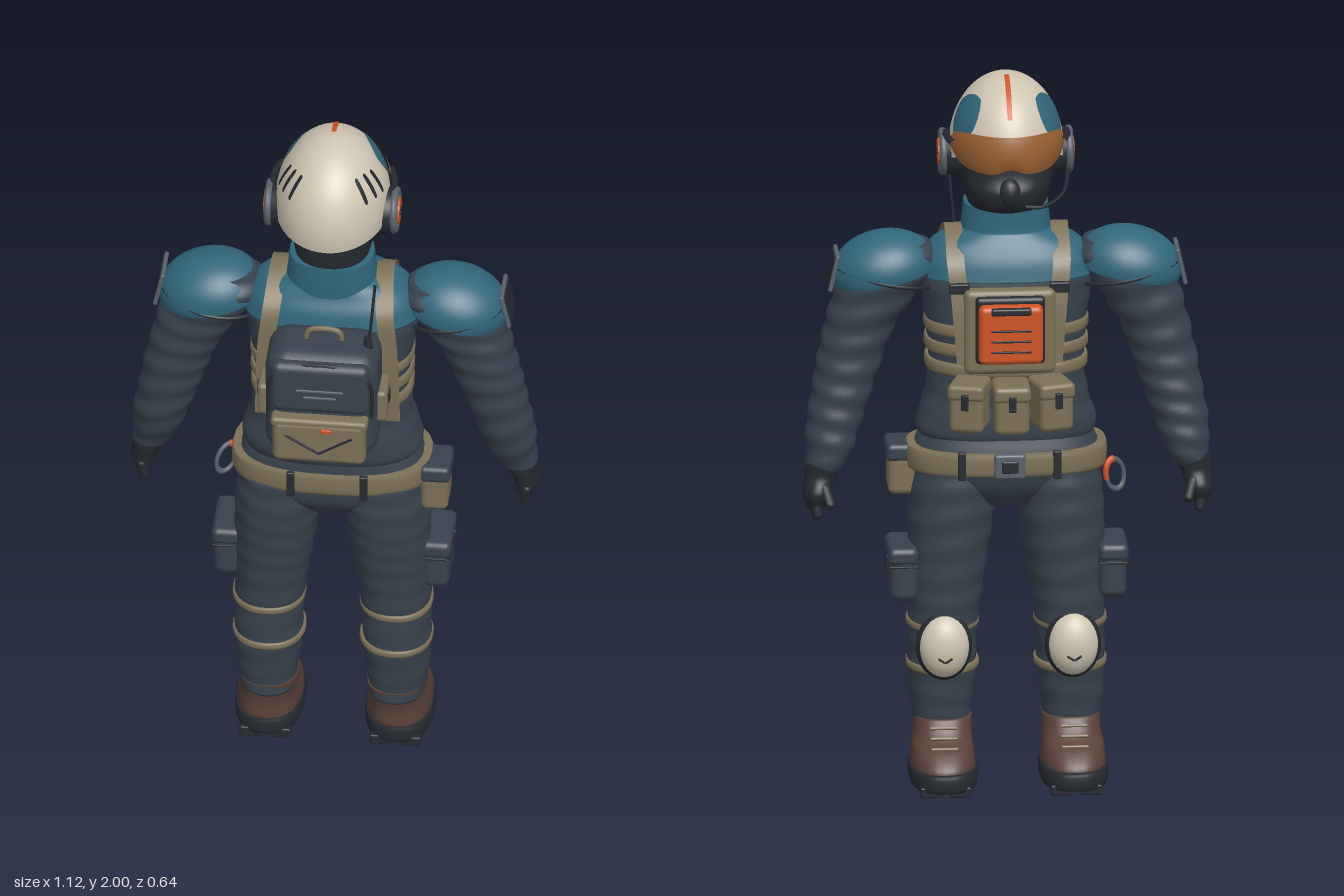
import * as THREE from 'three';
import { mergeVertices } from 'three/addons/utils/BufferGeometryUtils.js';
import { RoundedBoxGeometry } from 'three/addons/geometries/RoundedBoxGeometry.js';

const mat = (name, color, side = THREE.FrontSide) => {
  const m = new THREE.MeshStandardMaterial({ color, side });
  m.name = name;
  return m;
};
const V = (x, y, z) => new THREE.Vector3(x, y, z);

export function createModel() {
  const model = new THREE.Group();
  model.name = 'expeditionFigure';
  const suit = mat('slate suit', 0x38424d), teal = mat('teal', 0x30667a), bone = mat('off white shell', 0xcfc5b2, THREE.DoubleSide);
  const tan = mat('tan webbing', 0x7c7056, THREE.DoubleSide), orange = mat('orange', 0xcf5424), brown = mat('brown leather', 0x594139);
  const black = mat('near black', 0x262a30), amber = mat('amber visor', 0x9c6234, THREE.DoubleSide), steel = mat('steel grey', 0x59616a);

  const add = (name, geo, m, x = 0, y = 0, z = 0, rx = 0, ry = 0, rz = 0) => {
    const mesh = new THREE.Mesh(geo, m);
    mesh.name = name;
    mesh.position.set(x, y, z);
    mesh.rotation.set(rx, ry, rz);
    model.add(mesh);
    return mesh;
  };
  const box = (name, m, w, h, d, r, ...place) => add(name, new RoundedBoxGeometry(w, h, d, 3, r), m, ...place);
  const tube = (name, m, pts, r, closed = false) =>
    add(name, new THREE.TubeGeometry(new THREE.CatmullRomCurve3(pts.map(p => V(...p)), closed), 24, r, 6, closed), m);

  // Smooth surface from a rule f(u, v)
  const sheet = (name, m, f, nu, nv) => {
    const g = new THREE.PlaneGeometry(1, 1, nu, nv), p = g.attributes.position;
    for (let i = 0; i < p.count; i++) {
      const q = f(p.getX(i) + 0.5, p.getY(i) + 0.5);
      p.setXYZ(i, q.x, q.y, q.z);
    }
    g.deleteAttribute('uv');
    g.deleteAttribute('normal');
    const w = mergeVertices(g, 1e-5);
    w.computeVertexNormals();
    return add(name, w, m);
  };

  // Closed body from rounded sections [x, y, z, rx, rz], listed upwards
  const loft = (name, m, rows, { n = 2.2, wrinkle = 0, nv = 40, s = 1 } = {}) => {
    const mid = new THREE.CatmullRomCurve3(rows.map(r => V(r[0] * s, r[1], r[2])), false, 'catmullrom', 0.5);
    const rad = new THREE.CatmullRomCurve3(rows.map(r => V(r[3], r[4], 0)), false, 'catmullrom', 0.5);
    const pw = c => Math.sign(c) * Math.abs(c) ** (2 / n);
    return sheet(name, m, (u, v) => {
      const t = Math.min(1, Math.max(0, (v * nv - 1) / (nv - 2)));
      const c = mid.getPoint(t), r = rad.getPoint(t), a = (u > 0.999 ? 0 : u) * Math.PI * 2;
      const k = v < 1e-6 || v > 1 - 1e-6 ? 0 : 1 + wrinkle * Math.sin(c.y * 85 + 1.6 * Math.sin(a + c.y * 9));
      return V(c.x + r.x * k * pw(Math.sin(a)), c.y, c.z + r.y * k * pw(Math.cos(a)));
    }, 36, nv);
  };
  const band = (name, m, x, y, z, rx, rz, h, n = 2.2) => loft(name, m,
    [[x, y - h / 2, z, rx - 0.004, rz - 0.004], [x, y - h / 4, z, rx, rz], [x, y + h / 4, z, rx, rz], [x, y + h / 2, z, rx - 0.004, rz - 0.004]], { n, nv: 8 });

  // Torso, hips, yoke and collar
  loft('jacket', suit, [[0, 0.97, -0.04, 0.225, 0.125], [0, 1.01, -0.04, 0.247, 0.142], [0, 1.1, -0.04, 0.222, 0.138], [0, 1.2, -0.04, 0.212, 0.14],
    [0, 1.35, -0.04, 0.225, 0.145], [0, 1.45, -0.04, 0.238, 0.135], [0, 1.52, -0.04, 0.2, 0.112], [0, 1.56, -0.04, 0.12, 0.09]], { n: 2.5, wrinkle: 0.008 });
  loft('hips', suit, [[0, 0.79, -0.04, 0.1, 0.09], [0, 0.85, -0.04, 0.225, 0.13], [0, 0.93, -0.045, 0.255, 0.145], [0, 1.0, -0.04, 0.23, 0.135]], { n: 2.5 });
  loft('yoke', teal, [[0, 1.44, -0.04, 0.243, 0.142], [0, 1.49, -0.04, 0.23, 0.131], [0, 1.53, -0.04, 0.195, 0.112], [0, 1.565, -0.035, 0.12, 0.095]], { n: 2.5 });
  loft('collar', teal, [[0, 1.51, -0.03, 0.13, 0.1], [0, 1.57, -0.025, 0.122, 0.098], [0, 1.635, -0.025, 0.115, 0.098]], { n: 2.4 });
  band('hemBand', black, 0, 0.985, -0.04, 0.236, 0.136, 0.02, 2.5);
  for (let i = 0; i < 3; i++) band('ribStrap', tan, 0, 1.19 + i * 0.055, -0.04, 0.223 + i * 0.001, 0.15, 0.034, 2.5);

  // Head and helmet
  loft('balaclava', black, [[0, 1.55, -0.02, 0.09, 0.085], [0, 1.62, -0.025, 0.098, 0.095], [0, 1.65, -0.06, 0.108, 0.135], [0, 1.7, -0.07, 0.12, 0.148],
    [0, 1.75, -0.055, 0.128, 0.145], [0, 1.86, -0.05, 0.13, 0.14], [0, 1.92, -0.05, 0.08, 0.09]]);
  const nose = add('nose', new THREE.SphereGeometry(0.035, 16, 12), black, 0, 1.705, -0.2);
  nose.scale.set(0.9, 1.2, 0.9);
  const C = V(0, 1.79, -0.045), R = V(0.157, 0.21, 0.197);
  sheet('helmetShell', bone, (u, v) => {
    const a = (u > 0.999 ? 0 : u) * Math.PI * 2, c = Math.cos(a);
    const rim = c > 0 ? 1.77 - 0.025 * c : 1.77 + 0.1 * c * c;
    const th = (1 - v) * Math.acos((rim - C.y) / R.y);
    return V(R.x * Math.sin(th) * Math.sin(a), C.y + R.y * Math.cos(th), C.z + R.z * Math.sin(th) * c);
  }, 48, 24);
  // Painted patch on the helmet, centred on point (x, y, z); round 1 gives an oval
  const patch = (name, m, x, y, z, w, h, roll, round = 0, lift = 1.012) => {
    const d = V(x, y, z).sub(C).divide(R).normalize();
    const t1 = V(0, 1, 0).cross(d).normalize().applyAxisAngle(d, roll), t2 = d.clone().cross(t1);
    sheet(name, m, (u, v) => {
      const a = u * 2 - 1, b = v * 2 - 1;
      const p = a * Math.sqrt(1 - round * b * b / 2) * w / 2, q = b * Math.sqrt(1 - round * a * a / 2) * h / 2;
      return d.clone().addScaledVector(t1, p).addScaledVector(t2, q).normalize().multiply(R).multiplyScalar(lift).add(C);
    }, 12, 12);
  };
  patch('crestStripe', orange, 0, 1.975, -0.145, 0.09, 0.9, 0);
  for (const s of [1, -1]) {
    patch('helmetTealPanel', teal, s * 0.12, 1.91, -0.12, 0.68, 0.64, s * 0.25, 0.75);
    for (let i = 0; i < 3; i++) patch('helmetVent', black, s * (0.138 - i * 0.022), 1.91, 0.015 + i * 0.031, 0.07, 0.42, s * 0.22, 0.5);
    // Ear cups
    add('earPad', new THREE.CylinderGeometry(0.058, 0.07, 0.05, 28), black, s * 0.15, 1.775, -0.03, 0, 0, -s * Math.PI / 2);
    add('earRing', new THREE.TorusGeometry(0.055, 0.011, 10, 28), steel, s * 0.172, 1.775, -0.03, 0, Math.PI / 2);
    add('earDisc', new THREE.CylinderGeometry(0.036, 0.045, 0.03, 28), orange, s * 0.171, 1.775, -0.03, 0, 0, -s * Math.PI / 2);
    box('earBar', black, 0.008, 0.01, 0.035, 0.003, s * 0.186, 1.775, -0.03);
    tube('headsetArm', black, [[s * 0.166, 1.83, -0.03], [s * 0.163, 1.835, -0.09], [s * 0.15, 1.83, -0.14]], 0.01);
  }
  // Wraparound goggles
  const wrap = (name, m, spread, low, high, grow) => sheet(name, m, (u, v) => {
    const b = u * 2 - 1, a = Math.PI - b * spread, taper = 1 - 0.5 * Math.abs(b) ** 4;
    const y = 1.825 + (v < 0.5 ? -low : high) * Math.abs(v * 2 - 1) * taper * (v < 0.5 ? 1 - 0.3 * Math.exp(-b * b * 40) : 1);
    const k = grow * (1 - 0.05 * (v * 2 - 1) ** 2);
    return V(0.158 * k * Math.sin(a), y, -0.045 - 0.212 * k * -Math.cos(a));
  }, 40, 10);
  wrap('goggleFrame', black, 1.4, 0.066, 0.062, 1.0).material = black;
  wrap('visor', amber, 1.3, 0.056, 0.053, 1.025);
  tube('microphoneBoom', black, [[-0.17, 1.74, -0.05], [-0.15, 1.69, -0.15], [-0.09, 1.67, -0.22], [-0.04, 1.675, -0.235]], 0.005);

  for (const s of [1, -1]) {
    // Arms and gloves
    loft('sleeve', suit, [[0.505, 0.9, -0.105, 0.048, 0.056], [0.488, 0.95, -0.1, 0.062, 0.07], [0.475, 1.02, -0.085, 0.074, 0.08], [0.455, 1.1, -0.075, 0.08, 0.083],
      [0.43, 1.2, -0.065, 0.088, 0.086], [0.4, 1.3, -0.06, 0.096, 0.092], [0.355, 1.4, -0.06, 0.115, 0.1], [0.31, 1.48, -0.055, 0.125, 0.1], [0.28, 1.53, -0.05, 0.07, 0.07]],
    { wrinkle: 0.035, nv: 72, s });
    loft('glove', black, [[0.525, 0.8, -0.12, 0.025, 0.045], [0.522, 0.84, -0.12, 0.036, 0.058], [0.51, 0.89, -0.11, 0.044, 0.055], [0.498, 0.935, -0.105, 0.052, 0.06]], { s, wrinkle: 0.03 });
    for (let i = 0; i < 4; i++)
      add('finger', new THREE.CapsuleGeometry(0.014, 0.04, 4, 8), black, s * 0.524, 0.805 - (i % 3 ? 0.008 : 0), -0.075 - i * 0.027, 0.12, 0, -s * 0.15);
    add('thumb', new THREE.CapsuleGeometry(0.015, 0.045, 4, 8), black, s * 0.495, 0.84, -0.17, 0.35, 0, -s * 0.3);
    const pad = add('shoulderPad', new THREE.SphereGeometry(1, 32, 20, 0, Math.PI * 2, 0, Math.PI * 0.56), teal, s * 0.335, 1.455, -0.058, 0, 0, -s * 0.2);
    pad.scale.set(0.145, 0.105, 0.122);
    const edge = add('shoulderPadEdge', new THREE.TorusGeometry(1, 0.045, 8, 32), black, s * 0.332, 1.44, -0.058, Math.PI / 2, s * 0.2, 0);
    edge.scale.set(0.14, 0.118, 0.12);
    box('armPatchBorder', steel, 0.012, 0.105, 0.115, 0.005, s * 0.474, 1.46, -0.07, 0, 0, s * 0.22);
    box('armPatch', black, 0.012, 0.092, 0.102, 0.005, s * 0.477, 1.46, -0.07, 0, 0, s * 0.22);

    // Legs
    loft('trouserLeg', suit, [[0.175, 0.15, -0.04, 0.074, 0.085], [0.178, 0.21, -0.045, 0.084, 0.092], [0.176, 0.32, -0.045, 0.093, 0.105], [0.174, 0.42, -0.05, 0.094, 0.108],
      [0.168, 0.52, -0.05, 0.1, 0.115], [0.158, 0.66, -0.045, 0.11, 0.128], [0.147, 0.8, -0.04, 0.118, 0.138], [0.14, 0.9, -0.04, 0.11, 0.135]], { wrinkle: 0.014, nv: 64, s });
    for (const y of [0.33, 0.45]) band('kneeStrap', tan, s * 0.174, y, -0.048, 0.1, 0.113, 0.022);
    add('kneePadRim', new THREE.SphereGeometry(1, 24, 16), black, s * 0.176, 0.4, -0.145).scale.set(0.077, 0.097, 0.045);
    add('kneePad', new THREE.SphereGeometry(1, 24, 16), bone, s * 0.176, 0.402, -0.155).scale.set(0.069, 0.088, 0.055);
    for (const i of [-1, 1]) box('kneeMark', black, 0.022, 0.006, 0.008, 0.002, s * 0.176 + i * 0.01, 0.375, -0.206, 0, 0, i * 0.6);
    // Cargo pockets
    box('cargoPocket', suit, 0.075, 0.15, 0.165, 0.025, s * 0.285, 0.6, -0.07);
    box('cargoFlap', suit, 0.082, 0.05, 0.175, 0.018, s * 0.287, 0.655, -0.07);
    box('cargoSeam', black, 0.08, 0.006, 0.17, 0.002, s * 0.286, 0.627, -0.07);
    box('cargoTab', black, 0.01, 0.05, 0.018, 0.004, s * 0.328, 0.625, -0.1);

    // Boots
    loft('bootUpper', brown, [[0.178, 0.04, -0.118, 0.088, 0.15], [0.178, 0.075, -0.115, 0.088, 0.15], [0.178, 0.11, -0.098, 0.084, 0.13],
      [0.176, 0.14, -0.068, 0.08, 0.104], [0.175, 0.185, -0.045, 0.08, 0.09]], { n: 2.4, s });
    band('bootSole', black, s * 0.178, 0.042, -0.12, 0.094, 0.161, 0.05, 2.6);
    for (let i = 0; i < 6; i++) for (const e of [-1, 1])
      box('soleCleat', black, 0.06, 0.03, 0.032, 0.005, s * 0.178 + e * 0.04, 0.015, 0.015 - i * 0.052);
    for (let i = 0; i < 3; i++) box('bootLace', tan, 0.075, 0.008, 0.01, 0.003, s * 0.178, 0.165 - i * 0.022, -0.15 - i * 0.026, 0.6, 0, 0);

    // Harness straps over the shoulder
    const path = new THREE.CatmullRomCurve3([[0.175, 1.15, 0.095], [0.168, 1.38, 0.1], [0.155, 1.5, 0.08], [0.145, 1.572, -0.04],
      [0.145, 1.5, -0.16], [0.135, 1.4, -0.188], [0.12, 1.22, -0.2]].map(p => V(p[0] * s, p[1], p[2])));
    sheet('harnessStrap', tan, (u, v) => path.getPoint(v).add(V((u - 0.5) * 0.048, 0, 0)), 1, 48);
    box('strapBuckle', black, 0.056, 0.03, 0.016, 0.005, s * 0.137, 1.43, -0.186);

    // Outer chest pouches and pack sides
    box('sidePackPocket', tan, 0.04, 0.1, 0.1, 0.014, s * 0.158, 1.3, 0.19);
    box('sidePocketClip', black, 0.01, 0.035, 0.025, 0.003, s * 0.177, 1.31, 0.19);
    box('beltLoop', black, 0.022, 0.08, 0.014, 0.004, s * 0.1, 0.925, 0.109);
    box('frontBeltLoop', black, 0.022, 0.08, 0.014, 0.004, s * 0.13, 0.925, -0.193);
  }

  // Chest plate, orange kit and pouches
  box('chestPlate', tan, 0.25, 0.24, 0.05, 0.018, 0, 1.31, -0.19);
  box('chestKitBase', black, 0.19, 0.19, 0.03, 0.012, 0, 1.32, -0.218);
  box('chestKit', orange, 0.175, 0.165, 0.05, 0.016, 0, 1.315, -0.24);
  box('chestKitHandle', black, 0.11, 0.02, 0.022, 0.006, 0, 1.385, -0.262);
  for (let i = 0; i < 3; i++) box('chestKitGroove', black, 0.11, 0.006, 0.006, 0.002, 0, 1.27 + i * 0.03, -0.265);
  for (const i of [-1, 0, 1]) {
    const z = -0.25 + Math.abs(i) * 0.025, x = i * 0.112, r = -i * 0.28;
    box('chestPouch', tan, 0.095, 0.125, 0.11, 0.018, x, 1.105, z, 0, r);
    box('pouchFlap', tan, 0.102, 0.045, 0.12, 0.014, x, 1.158, z, 0, r);
    box('pouchClip', black, 0.02, 0.045, 0.01, 0.003, x + i * 0.0165, 1.135, z - 0.06, 0, r);
  }

  // Belt with buckle, pouch and carabiner
  band('belt', tan, 0, 0.925, -0.045, 0.275, 0.155, 0.065, 2.6);
  box('beltBuckle', steel, 0.085, 0.07, 0.025, 0.008, 0, 0.925, -0.2);
  box('buckleCentre', black, 0.045, 0.035, 0.02, 0.005, 0, 0.925, -0.206);
  box('beltPouch', tan, 0.075, 0.14, 0.115, 0.018, 0.285, 0.88, -0.02);
  box('beltPouchFlap', suit, 0.085, 0.05, 0.125, 0.015, 0.286, 0.93, -0.02);
  const clip = add('carabiner', new THREE.TorusGeometry(0.03, 0.006, 8, 24), steel, -0.295, 0.86, -0.08, 0, 0.6, -0.3);
  clip.scale.y = 1.5;
  const gate = add('carabinerGate', new THREE.TorusGeometry(0.03, 0.0075, 8, 12, 1.8), orange, -0.295, 0.86, -0.08, 0, 0.6, -0.3);
  gate.scale.y = 1.5;

  // Backpack
  box('backpack', suit, 0.31, 0.34, 0.2, 0.06, 0, 1.31, 0.185);
  box('packLid', suit, 0.27, 0.16, 0.05, 0.024, 0, 1.385, 0.272);
  box('packPocket', tan, 0.255, 0.135, 0.055, 0.02, 0, 1.225, 0.295);
  box('packPocketFlap', tan, 0.265, 0.03, 0.05, 0.012, 0, 1.285, 0.295);
  tube('packZip', black, [[-0.142, 1.3, 0.284], [-0.13, 1.42, 0.284], [0, 1.462, 0.282], [0.13, 1.42, 0.284], [0.142, 1.3, 0.284]], 0.006);
  for (const s of [-1, 1]) box('packPocketCord', black, 0.11, 0.006, 0.006, 0.002, s * 0.045, 1.222, 0.3235, 0, 0, s * 0.55);
  for (const i of [0, 1]) box('packSeam', steel, 0.13 - i * 0.04, 0.007, 0.006, 0.002, 0, 1.385 - i * 0.022, 0.298);
  box('zipPull', orange, 0.03, 0.012, 0.008, 0.003, 0.02, 1.27, 0.323);
  tube('packHandle', tan, [[-0.05, 1.47, 0.18], [-0.04, 1.505, 0.18], [0.04, 1.505, 0.18], [0.05, 1.47, 0.18]], 0.008);
  tube('antenna', black, [[0.12, 1.44, 0.19], [0.13, 1.55, 0.193], [0.142, 1.69, 0.2]], 0.0045);
  add('antennaBase', new THREE.CylinderGeometry(0.011, 0.015, 0.05, 12), black, 0.121, 1.475, 0.19);
  return model;
}
